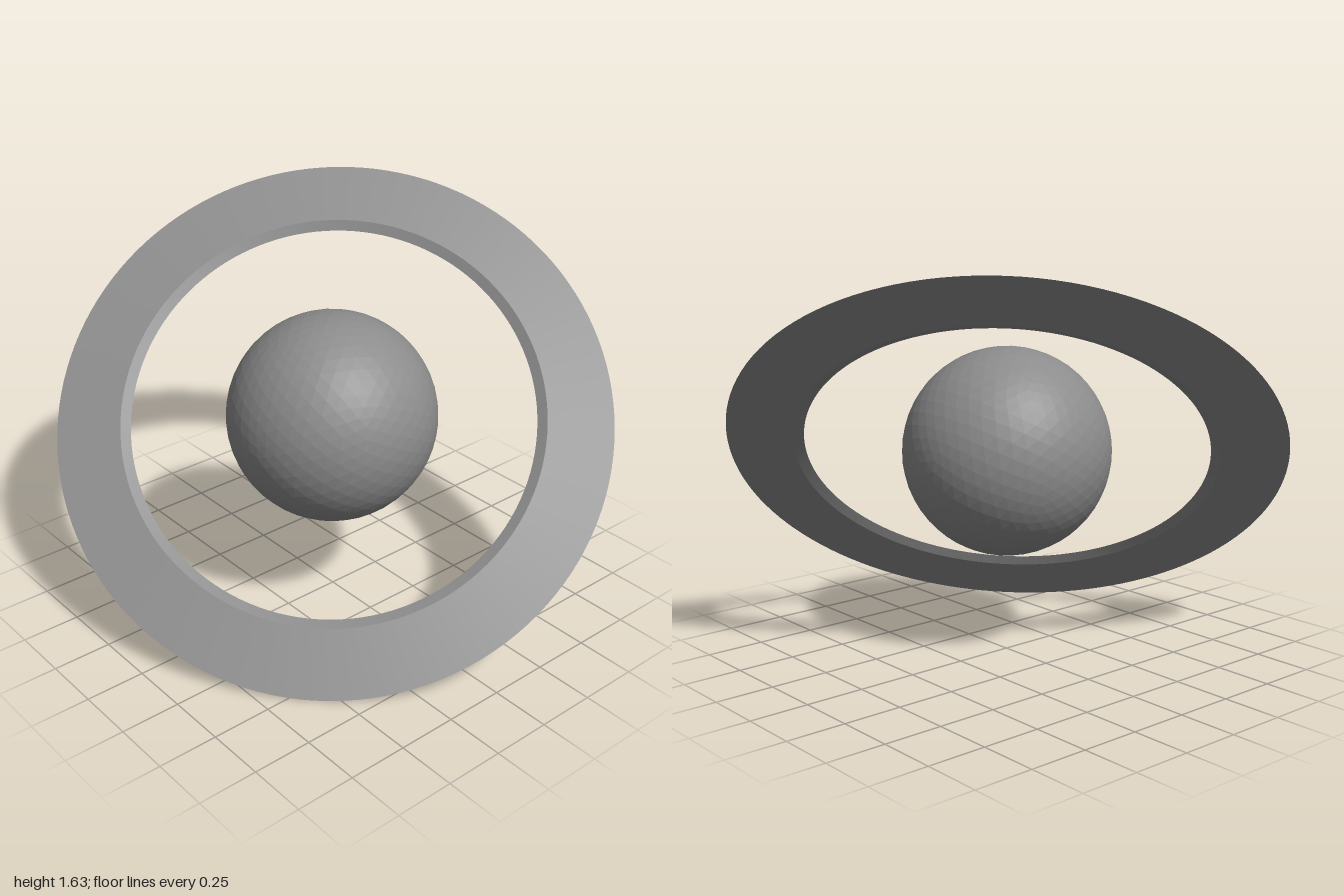
import * as THREE from 'three';
import { toCreasedNormals } from 'three/addons/utils/BufferGeometryUtils.js';

export function createModel() {
  const model = new THREE.Group();
  const color = 0x8c8c8c;
  const smoothMaterial = new THREE.MeshStandardMaterial({ color });
  const facetedMaterial = new THREE.MeshStandardMaterial({ color, flatShading: true });

  // Tilted frame: its local y is the axis of the ring
  const tilted = new THREE.Group();
  tilted.name = 'tiltedPlanet';
  tilted.position.y = 0.8175;
  const axis = new THREE.Vector3(0.5, Math.SQRT1_2, 0.5);
  tilted.quaternion.setFromUnitVectors(new THREE.Vector3(0, 1, 0), axis);
  model.add(tilted);

  // Faceted globe, sitting slightly above the ring plane
  const globe = new THREE.Mesh(new THREE.IcosahedronGeometry(0.436, 8), facetedMaterial);
  globe.name = 'globe';
  globe.position.y = 0.047;
  tilted.add(globe);

  // Ring: flat underside, knife edge outside, shallow bevels inside
  const profile = [
    [0.84, 0.021], [0.88, 0], [1.155, 0], [0.88, 0.042], [0.84, 0.021],
  ].map(([r, h]) => new THREE.Vector2(r, h));
  const ringGeometry = toCreasedNormals(new THREE.LatheGeometry(profile, 128), 0.4);
  const ring = new THREE.Mesh(ringGeometry, smoothMaterial);
  ring.name = 'ring';
  tilted.add(ring);

  return model;
}
